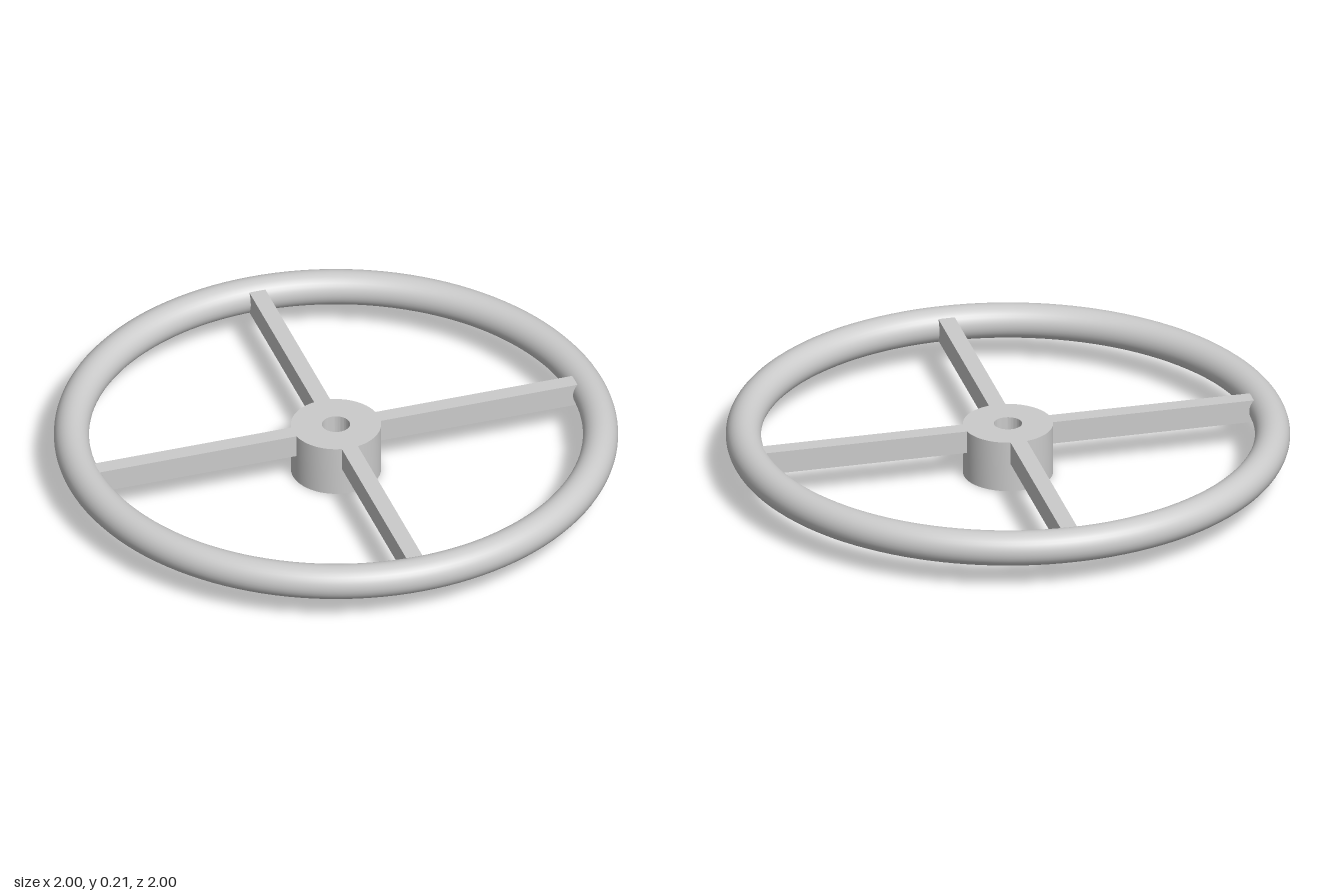
import * as THREE from 'three';
import { toCreasedNormals } from 'three/addons/utils/BufferGeometryUtils.js';

export function createModel() {
  const group = new THREE.Group();
  const material = new THREE.MeshStandardMaterial({ color: 0xcccccc });
  const add = (name, geometry) => {
    const mesh = new THREE.Mesh(geometry, material);
    mesh.name = name;
    group.add(mesh);
    return mesh;
  };

  const tube = 0.0625, ringRadius = 1 - tube, midY = 0.148;
  const hubRadius = 0.16, boreRadius = 0.05, hubTop = 0.19;

  // Round rim lying flat
  const rim = new THREE.TorusGeometry(ringRadius, tube, 32, 128);
  rim.rotateX(Math.PI / 2);
  add('rim', rim).position.y = midY;

  // Hub with a bore right through it
  const profile = [
    [hubRadius, 0], [hubRadius, hubTop], [boreRadius, hubTop], [boreRadius, 0], [hubRadius, 0],
  ].map(([r, y]) => new THREE.Vector2(r, y));
  add('hub', toCreasedNormals(new THREE.LatheGeometry(profile, 64), 0.6));

  // Four spokes, flush with the hub top, ending inside the rim
  const inner = 0.1, height = 2 * (hubTop - midY);
  for (let i = 0; i < 4; i++) {
    const spoke = new THREE.BoxGeometry(ringRadius - inner, height, 0.06);
    spoke.translate((ringRadius + inner) / 2, midY, 0);
    add(`spoke${i + 1}`, spoke).rotation.y = i * Math.PI / 2;
  }
  return group;
}
